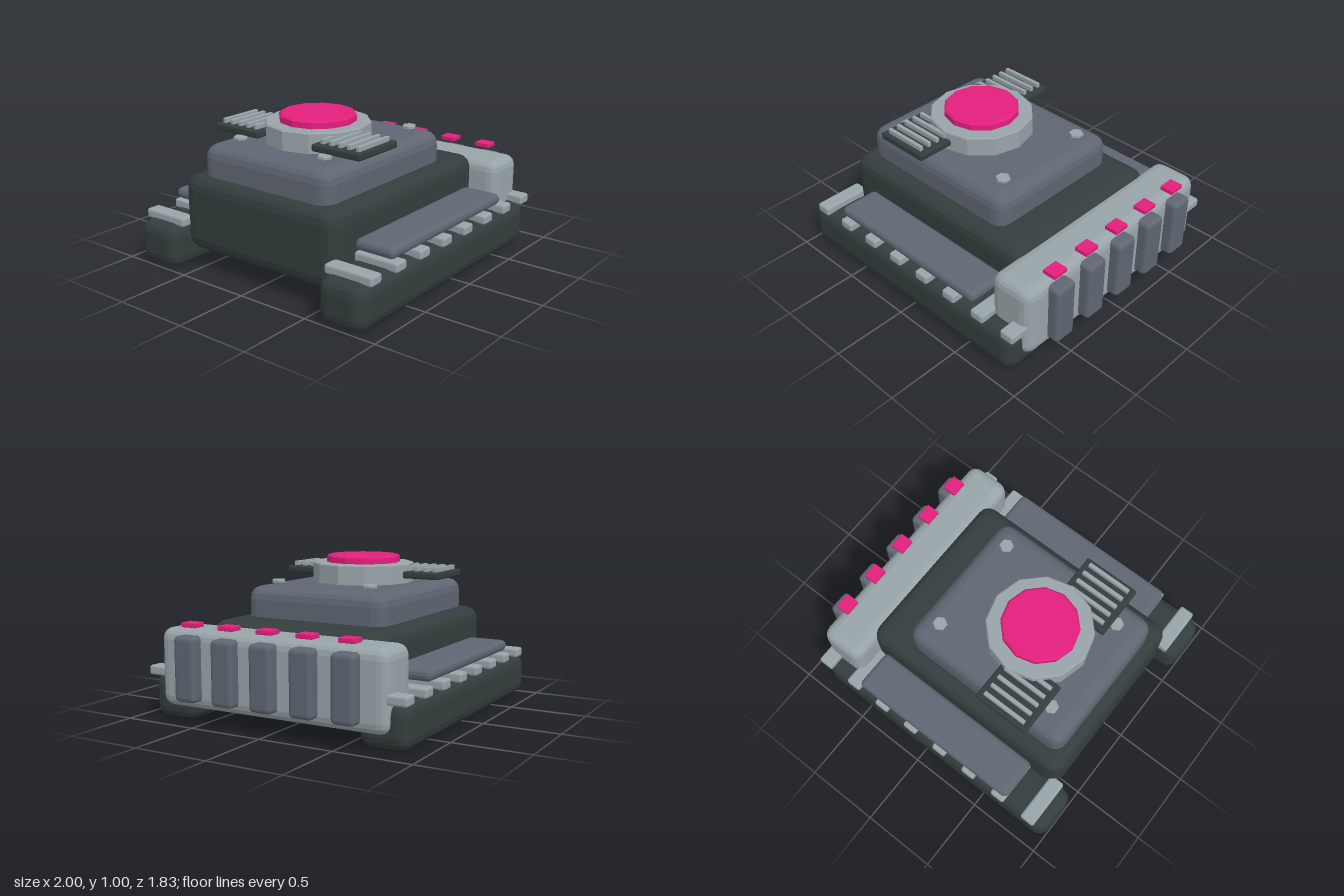
import * as THREE from 'three';
import { RoundedBoxGeometry } from 'three/addons/geometries/RoundedBoxGeometry.js';

const material = (name, color) => {
  const m = new THREE.MeshStandardMaterial({ color });
  m.name = name;
  return m;
};

export function createModel() {
  const model = new THREE.Group();
  model.name = 'trackedMachine';
  const dark = material('dark green grey', 0x343d3d);
  const slate = material('slate', 0x5f6672);
  const steel = material('light steel', 0x98a4a9);
  const pink = material('magenta', 0xe41f7d);

  const add = (name, geometry, mat) => {
    const mesh = new THREE.Mesh(geometry, mat);
    mesh.name = name;
    model.add(mesh);
    return mesh;
  };

  // Box with bevelled, faceted edges, given by its limits on each axis
  const block = (name, mat, [x0, x1], [y0, y1], [z0, z1], r) => {
    const g = new RoundedBoxGeometry(x1 - x0, y1 - y0, z1 - z0, 2, r);
    g.computeVertexNormals();
    g.translate((x0 + x1) / 2, (y0 + y1) / 2, (z0 + z1) / 2);
    return add(name, g, mat);
  };

  // Faceted disc with a small bevel on its rims
  const disc = (name, mat, x, z, radius, y0, y1, sides, b) => {
    const profile = [[0, y0], [radius - b, y0], [radius, y0 + b], [radius, y1 - b], [radius - b, y1], [0, y1]];
    const g = new THREE.LatheGeometry(profile.map(p => new THREE.Vector2(...p)), sides).toNonIndexed();
    g.computeVertexNormals();
    g.translate(x, 0, z);
    return add(name, g, mat);
  };

  const span = (centre, size) => [centre - size / 2, centre + size / 2];
  const side = (s, a, b) => (s > 0 ? [a, b] : [-b, -a]);

  // Hull and raised deck
  block('hull', dark, [-0.87, 0.665], [0.12, 0.62], [-0.615, 0.615], 0.09);
  block('upperDeck', slate, [-0.795, 0.412], [0.5, 0.82], [-0.507, 0.507], 0.085);

  // Turret ring and its cap
  disc('turretRing', steel, -0.258, 0, 0.342, 0.8, 0.95, 12, 0.008);
  disc('turretCap', pink, -0.258, 0, 0.248, 0.93, 1.0, 12, 0.012);

  for (const s of [1, -1]) {
    // Thin deck bolts
    for (const x of [-0.607, 0.27]) disc('deckBolt', steel, x, s * 0.34, 0.047, 0.835, 0.858, 6, 0.004);

    // Vent plate with slats
    block('ventPlate', dark, [-0.588, -0.206], [0.854, 0.9], side(s, 0.217, 0.58), 0.012);
    for (let i = 0; i < 5; i++) {
      block('ventSlat', steel, [-0.55, -0.245], [0.89, 0.93], span(s * (0.27 + i * 0.0665), 0.025), 0.003);
    }

    // Track, cleats and guard
    block('track', dark, [-1, 0.873], [0, 0.29], side(s, 0.578, 0.908), 0.08);
    for (let i = 0; i < 8; i++) {
      block('trackCleat', steel, span(-0.867 + i * 0.245, 0.102), [0.275, 0.337], side(s, 0.578, 0.914), 0.015);
    }
    block('trackGuard', slate, [-0.68, 0.55], [0.348, 0.422], side(s, 0.61, 0.89), 0.034);
  }

  // Side housing with ribs and floating marker plates
  block('sideHousing', steel, [0.612, 0.922], [0.093, 0.592], [-0.805, 0.805], 0.07);
  for (let i = -2; i <= 2; i++) {
    block('housingRib', slate, [0.84, 1], [0.15, 0.56], span(i * 0.278, 0.156), 0.028);
    block('markerPlate', pink, [0.852, 0.943], [0.61, 0.639], span(i * 0.278, 0.108), 0.004);
  }

  return model;
}
